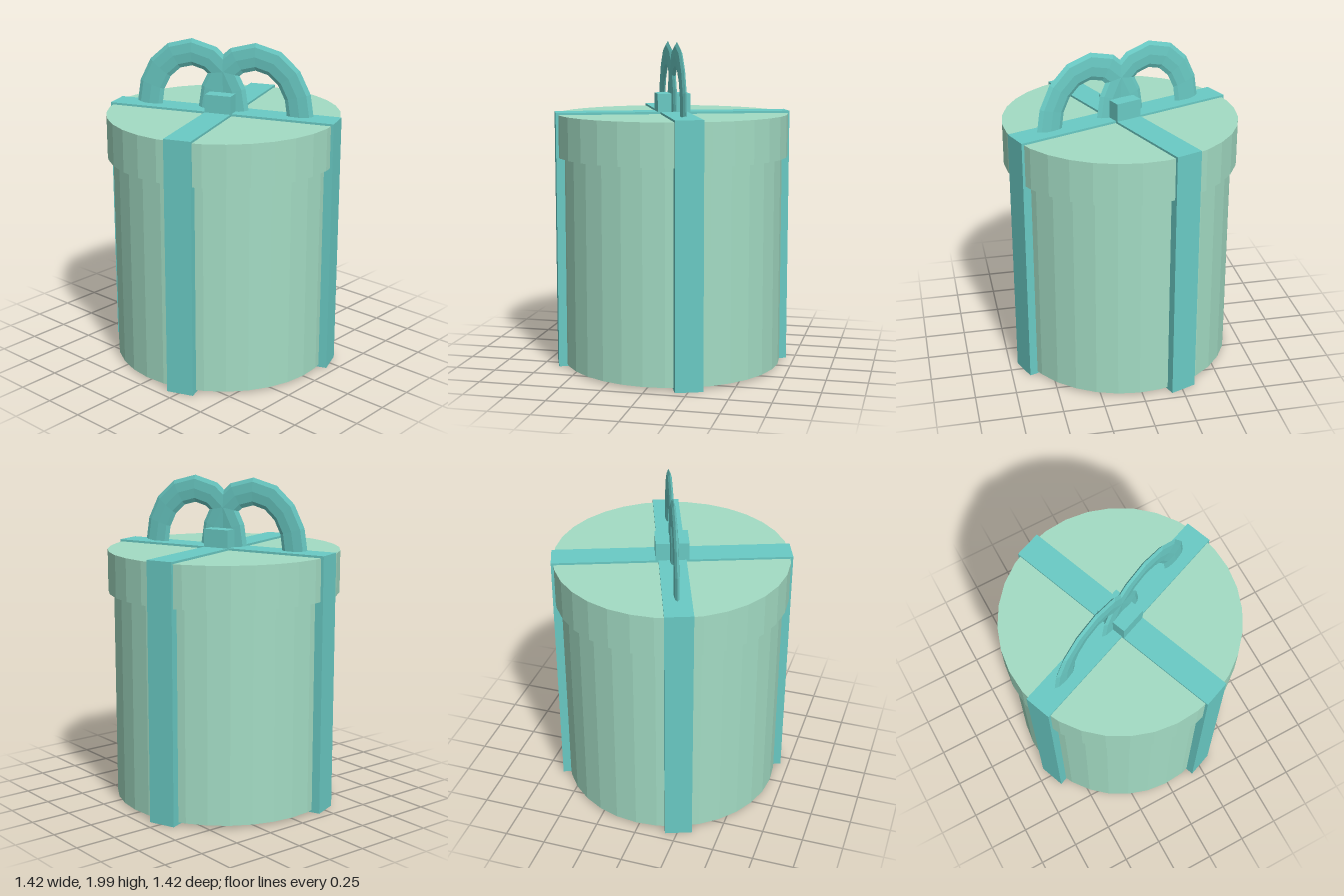
import * as THREE from 'three';

export function createModel() {
  const model = new THREE.Group();
  model.name = 'giftBox';
  const paper = new THREE.MeshStandardMaterial({ color: 0xa3dcc4, flatShading: true });
  paper.name = 'mint paper';
  const ribbon = new THREE.MeshStandardMaterial({ color: 0x6acbc5, flatShading: true });
  ribbon.name = 'teal ribbon';

  const add = (name, geometry, material, y = 0) => {
    const mesh = new THREE.Mesh(geometry, material);
    mesh.name = name;
    mesh.position.y = y;
    model.add(mesh);
    return mesh;
  };

  // Round box and its wider lid
  add('boxBody', new THREE.CylinderGeometry(0.675, 0.675, 1.3, 32), paper, 0.665);
  add('lid', new THREE.CylinderGeometry(0.71, 0.71, 0.257, 32), paper, 1.4285);

  // Two crossed ribbons wrapping the whole box
  add('ribbonLengthwise', new THREE.BoxGeometry(0.166, 1.57, 1.436), ribbon, 0.785);
  add('ribbonCrosswise', new THREE.BoxGeometry(1.436, 1.57, 0.166), ribbon, 0.785);

  // Knot in the middle of the bow
  add('knot', new THREE.BoxGeometry(0.2, 0.13, 0.166), ribbon, 1.615);

  // Two thin arched bow loops that cross at the knot
  for (const side of [1, -1]) {
    const points = [];
    for (let i = 0; i <= 8; i++) {
      const a = (i / 8) * Math.PI;
      points.push(new THREE.Vector3(0, 0.345 * Math.sin(a), 0.284 * Math.cos(a)));
    }
    const path = new THREE.CatmullRomCurve3(points);
    const loop = add(side > 0 ? 'frontBowLoop' : 'backBowLoop',
      new THREE.TubeGeometry(path, 8, 0.083, 8), ribbon, 1.566);
    loop.scale.x = 0.2;
    loop.position.z = side * 0.204;
  }

  // The box stands slightly turned
  model.rotation.y = THREE.MathUtils.degToRad(21);
  const root = new THREE.Group();
  root.name = 'present';
  root.add(model);
  return root;
}
